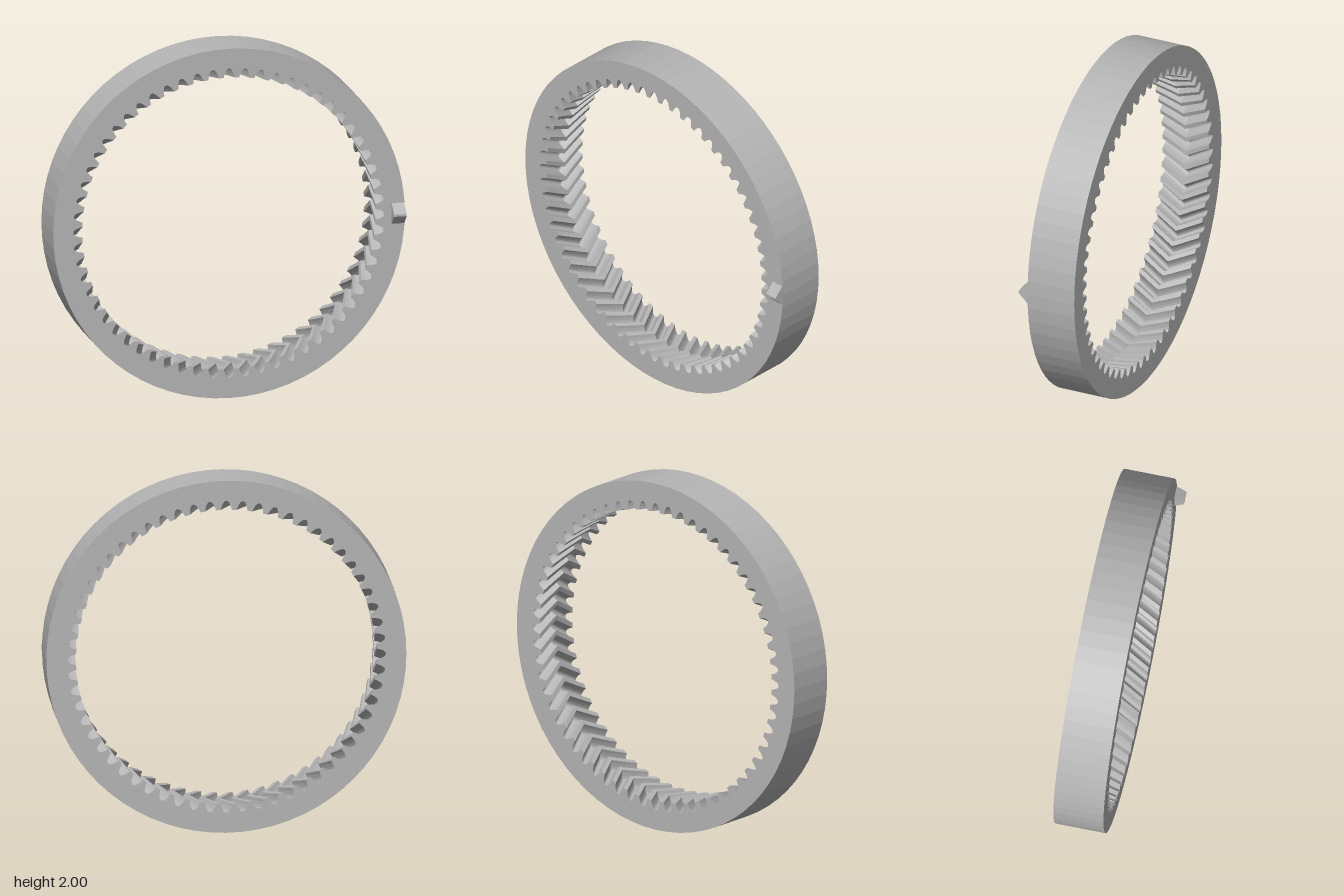
import * as THREE from 'three';

const TEETH = 60;
const BACK = -0.17, FACE = 0.113; // z of the two ring faces
const TWIST = 0.092;              // herringbone shift at mid depth, radians

// Half of one tooth gap: radius, half angle
const GAP = [[0.835, 0.036], [0.852, 0.031], [0.869, 0.023], [0.881, 0.014], [0.886, 0.005]];

const polar = (r, a) => new THREE.Vector2(r * Math.cos(a), r * Math.sin(a));

function ringGeometry() {
  // Round outside, toothed hole inside
  const outer = [], inner = [];
  const sides = 72;
  for (let i = 0; i < sides; i++) outer.push(polar(1, (i / sides) * Math.PI * 2));
  for (let i = 0; i < TEETH; i++) {
    const a = (i / TEETH) * Math.PI * 2;
    GAP.forEach(([r, h]) => inner.push(polar(r, a - h)));
    [...GAP].reverse().forEach(([r, h]) => inner.push(polar(r, a + h)));
  }
  const shape = new THREE.Shape(outer);
  shape.holes.push(new THREE.Path(inner));
  const depth = FACE - BACK;
  const geo = new THREE.ExtrudeGeometry(shape, { depth, steps: 6, bevelEnabled: false });

  // Turn the teeth towards mid depth and back again to make chevrons
  const pos = geo.attributes.position;
  for (let i = 0; i < pos.count; i++) {
    const x = pos.getX(i), y = pos.getY(i), z = pos.getZ(i);
    if (Math.hypot(x, y) > 0.95) continue;
    const t = TWIST * (1 - Math.abs((2 * z) / depth - 1));
    const c = Math.cos(t), s = Math.sin(t);
    pos.setXY(i, x * c - y * s, x * s + y * c);
  }
  geo.translate(0, 1, BACK);
  geo.computeVertexNormals();
  return geo;
}

function pointerGeometry() {
  // Triangular ridge with a small blunt crest, extruded along x
  const s = new THREE.Shape([
    new THREE.Vector2(-0.064, -0.01), new THREE.Vector2(0.064, -0.01),
    new THREE.Vector2(0.058, 0.003), new THREE.Vector2(0.006, 0.055),
    new THREE.Vector2(-0.006, 0.055), new THREE.Vector2(-0.058, 0.003),
  ]);
  const geo = new THREE.ExtrudeGeometry(s, { depth: 0.072, bevelEnabled: false });
  // Shape x -> y, shape y -> z, depth -> x
  const m = new THREE.Matrix4().makeBasis(
    new THREE.Vector3(0, 1, 0), new THREE.Vector3(0, 0, 1), new THREE.Vector3(1, 0, 0));
  geo.applyMatrix4(m);
  geo.translate(0.925, 1, FACE);
  return geo;
}

export function createModel() {
  const group = new THREE.Group();
  group.name = 'herringboneRingGear';
  const grey = new THREE.MeshStandardMaterial({ color: 0xb4b4b4 });
  grey.name = 'grey';

  const ring = new THREE.Mesh(ringGeometry(), grey);
  ring.name = 'toothedRing';
  const pointer = new THREE.Mesh(pointerGeometry(), grey);
  pointer.name = 'pointer';
  group.add(ring, pointer);
  return group;
}
